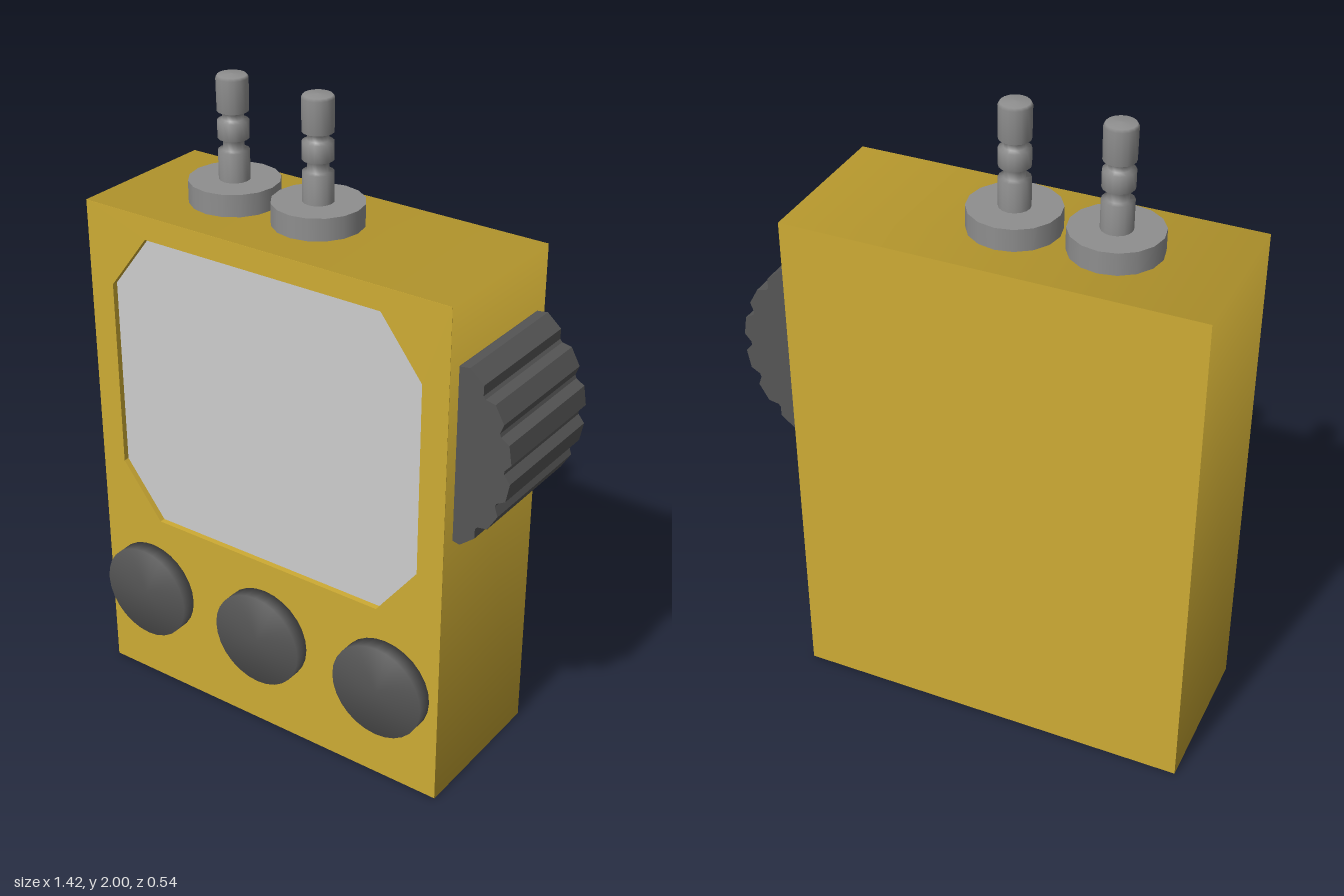
import * as THREE from 'three';
import { mergeVertices } from 'three/addons/utils/BufferGeometryUtils.js';

const mat = (name, color) => {
  const m = new THREE.MeshStandardMaterial({ color });
  m.name = name;
  return m;
};

// Joins all corners so that shading runs smoothly over every edge
function smooth(geometry) {
  geometry.deleteAttribute('normal');
  geometry.deleteAttribute('uv');
  const g = mergeVertices(geometry, 1e-4);
  g.computeVertexNormals();
  return g;
}

const octagon = (Base, x0, x1, y0, y1, cx, cy) => new Base([
  [x0 + cx, y0], [x1 - cx, y0], [x1, y0 + cy], [x1, y1 - cy],
  [x1 - cx, y1], [x0 + cx, y1], [x0, y1 - cy], [x0, y0 + cy],
].map(([x, y]) => new THREE.Vector2(x, y)));

export function createModel() {
  const model = new THREE.Group();
  model.name = 'handheldDevice';
  const yellow = mat('yellow case', 0xcdab34);
  const lightGrey = mat('light grey screen', 0xcccccc);
  const darkGrey = mat('dark grey controls', 0x555555);
  const midGrey = mat('mid grey metal', 0x8e8e8e);

  const add = (name, geometry, material, x = 0, y = 0, z = 0, parent = model) => {
    const mesh = new THREE.Mesh(geometry, material);
    mesh.name = name;
    mesh.position.set(x, y, z);
    parent.add(mesh);
    return mesh;
  };

  const left = -0.713, right = 0.535, top = 1.623, front = 0.225, back = -0.27;
  const width = right - left, cx = (left + right) / 2;
  const recess = 0.02;

  // Case walls: a four-sided tube with softly shaded corners
  const walls = new THREE.CylinderGeometry(Math.SQRT1_2, Math.SQRT1_2, 1, 4, 1, true);
  walls.rotateX(Math.PI / 2).rotateZ(Math.PI / 4).scale(width, top, front - back);
  add('caseWalls', walls, yellow, cx, top / 2, (front + back) / 2);
  add('caseBack', new THREE.PlaneGeometry(width, top).rotateY(Math.PI), yellow, cx, top / 2, back);

  // Front plate with the window cut out, and the screen sunk in it
  const e = 0.0005;
  const plate = octagon(THREE.Shape, left + e, right - e, e, top - e, 0, 0);
  plate.holes.push(octagon(THREE.Path, -0.63, 0.45, 0.6, 1.55, 0.135, 0.175));
  add('caseFront', new THREE.ExtrudeGeometry(plate, { depth: recess, bevelEnabled: false }),
    yellow, 0, 0, front - recess);
  const screen = octagon(THREE.Shape, -0.63, 0.45, 0.6, 1.55, 0.135, 0.175);
  add('screen', new THREE.ShapeGeometry(screen), lightGrey, 0, 0, front - recess + 0.002);

  // Three push buttons
  const button = smooth(new THREE.CylinderGeometry(0.155, 0.155, 0.05, 28).rotateX(Math.PI / 2));
  for (const x of [-0.53, -0.09, 0.35]) add('button', button, darkGrey, x, 0.345, front + 0.023);

  // Ridged thumb wheel, half sunk in the left wall
  const teeth = 18, rim = [];
  for (let i = 0; i < teeth; i++) {
    for (const [t, r] of [[0, 0.315], [0.2, 0.336], [0.7, 0.336], [0.9, 0.315]]) {
      const a = ((i + t) / teeth) * Math.PI * 2;
      rim.push(new THREE.Vector2(r * Math.cos(a), r * Math.sin(a)));
    }
  }
  add('thumbWheel', new THREE.ExtrudeGeometry(new THREE.Shape(rim), { depth: 0.41, bevelEnabled: false }),
    darkGrey, 0.37, 1.168, -0.23);

  // Two grooved connector pins on round bases
  const profile = [
    [0.046, 0], [0.046, 0.09], [0.031, 0.092], [0.031, 0.122], [0.046, 0.126], [0.046, 0.178],
    [0.031, 0.182], [0.031, 0.202], [0.046, 0.206], [0.047, 0.302], [0.042, 0.31], [0, 0.313],
  ].map(([r, y]) => new THREE.Vector2(r, y));
  const pin = new THREE.LatheGeometry(profile, 16);
  const base = new THREE.CylinderGeometry(0.135, 0.135, 0.067, 16);
  for (const x of [-0.36, -0.064]) {
    const connector = new THREE.Group();
    connector.name = 'connector';
    connector.position.set(x, top, -0.024);
    add('connectorBase', base, midGrey, 0, 0.0335, 0, connector);
    add('connectorPin', pin, midGrey, 0, 0.064, 0, connector);
    model.add(connector);
  }
  return model;
}
